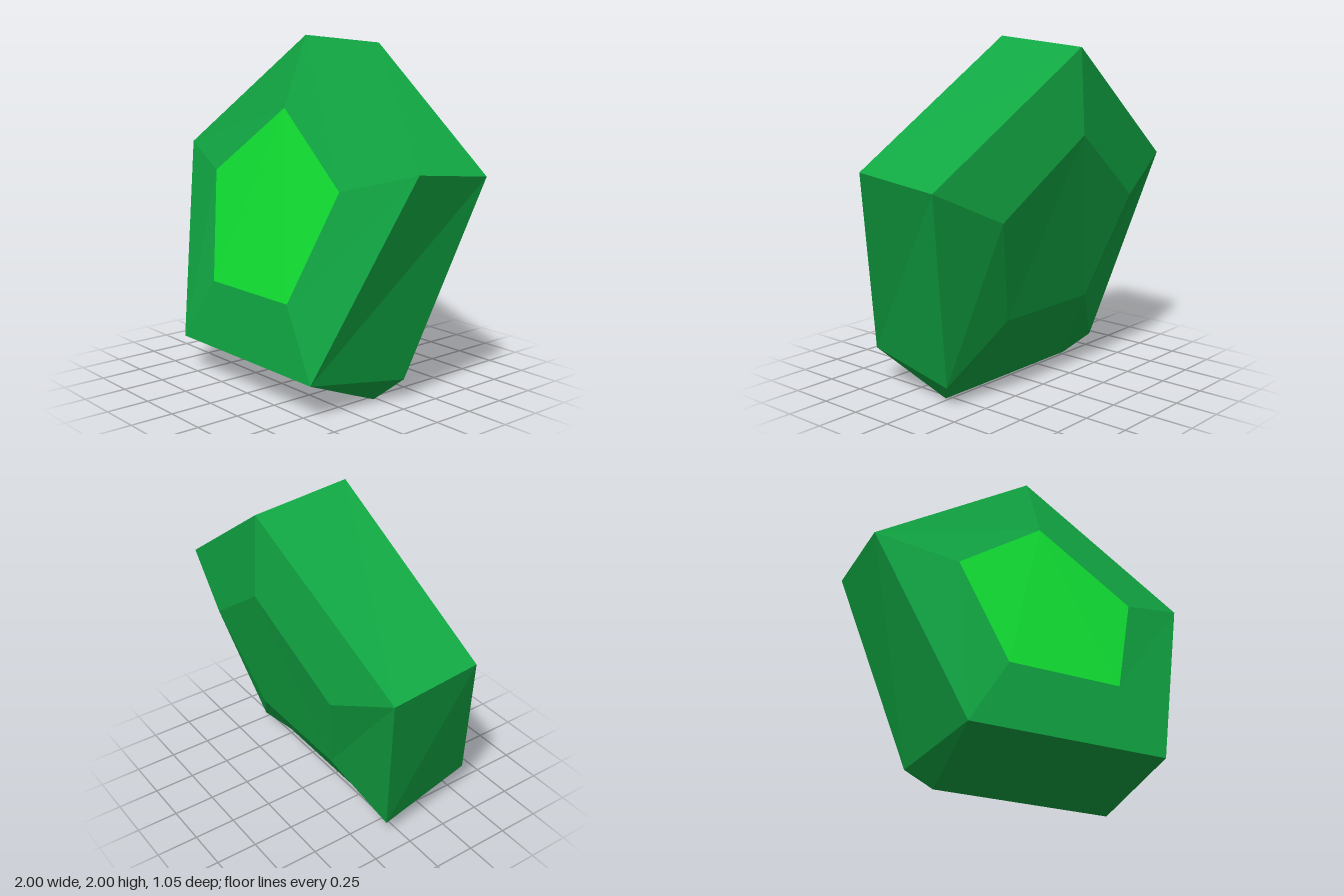
import * as THREE from 'three';

// Rings run anticlockwise seen from the front: top, right side,
// two right-bottom points, then the mirrored left half.
function ring(top, side, low, foot = low) {
  const half = [side, low, foot];
  return [
    [0, ...top],
    ...half.map(([x, y, z]) => [-x, y, z]),
    ...half.slice().reverse(),
  ];
}

function buildMesh(name, material, triangles) {
  const geometry = new THREE.BufferGeometry();
  geometry.setAttribute('position', new THREE.Float32BufferAttribute(triangles.flat(2), 3));
  geometry.computeVertexNormals();
  const mesh = new THREE.Mesh(geometry, material);
  mesh.name = name;
  return mesh;
}

// Band of faces joining a front ring to the ring behind it
function band(a, b) {
  const triangles = [];
  a.forEach((p, i) => {
    const j = (i + 1) % a.length;
    if (b[i] !== b[j] && String(b[i]) !== String(b[j])) triangles.push([p, b[i], b[j]]);
    if (String(p) !== String(a[j])) triangles.push([p, b[j], a[j]]);
  });
  return triangles;
}

// Flat cap, fanned from the top point
function cap(r, facesBack) {
  const triangles = [];
  for (let i = 1; i < r.length - 1; i++) {
    if (String(r[i]) === String(r[i + 1])) continue;
    triangles.push(facesBack ? [r[0], r[i + 1], r[i]] : [r[0], r[i], r[i + 1]]);
  }
  return triangles;
}

export function createModel() {
  const model = new THREE.Group();
  model.name = 'pentagonGem';

  const darkGreen = new THREE.MeshStandardMaterial({ color: 0x11a743 });
  darkGreen.name = 'darkGreen';
  const brightGreen = new THREE.MeshStandardMaterial({ color: 0x11e033 });
  brightGreen.name = 'brightGreen';
  darkGreen.flatShading = brightGreen.flatShading = true;

  // Pentagon cross-sections of the backward-leaning gem, front to back
  const frontInner = ring([1.6, 0.22], [0.555, 1.2, 0.3], [0.34, 0.585, 0.48]);
  const frontOuter = ring([2, 0.065], [1, 1.325, 0.165], [0.59, 0.205, 0.525]);
  const backOuter = ring([1.95, -0.5], [0.99, 1.27, -0.35], [0.65, 0.12, -0.1], [0.535, 0, 0.02]);
  const backInner = ring([1.48, -0.525], [0.57, 1.07, -0.44], [0.35, 0.47, -0.28]);

  model.add(
    buildMesh('frontPanel', brightGreen, cap(frontInner, false)),
    buildMesh('frontBevel', darkGreen, band(frontInner, frontOuter)),
    buildMesh('rim', darkGreen, band(frontOuter, backOuter)),
    buildMesh('backBevel', darkGreen, band(backOuter, backInner)),
    buildMesh('backPanel', darkGreen, cap(backInner, true)),
  );
  return model;
}
